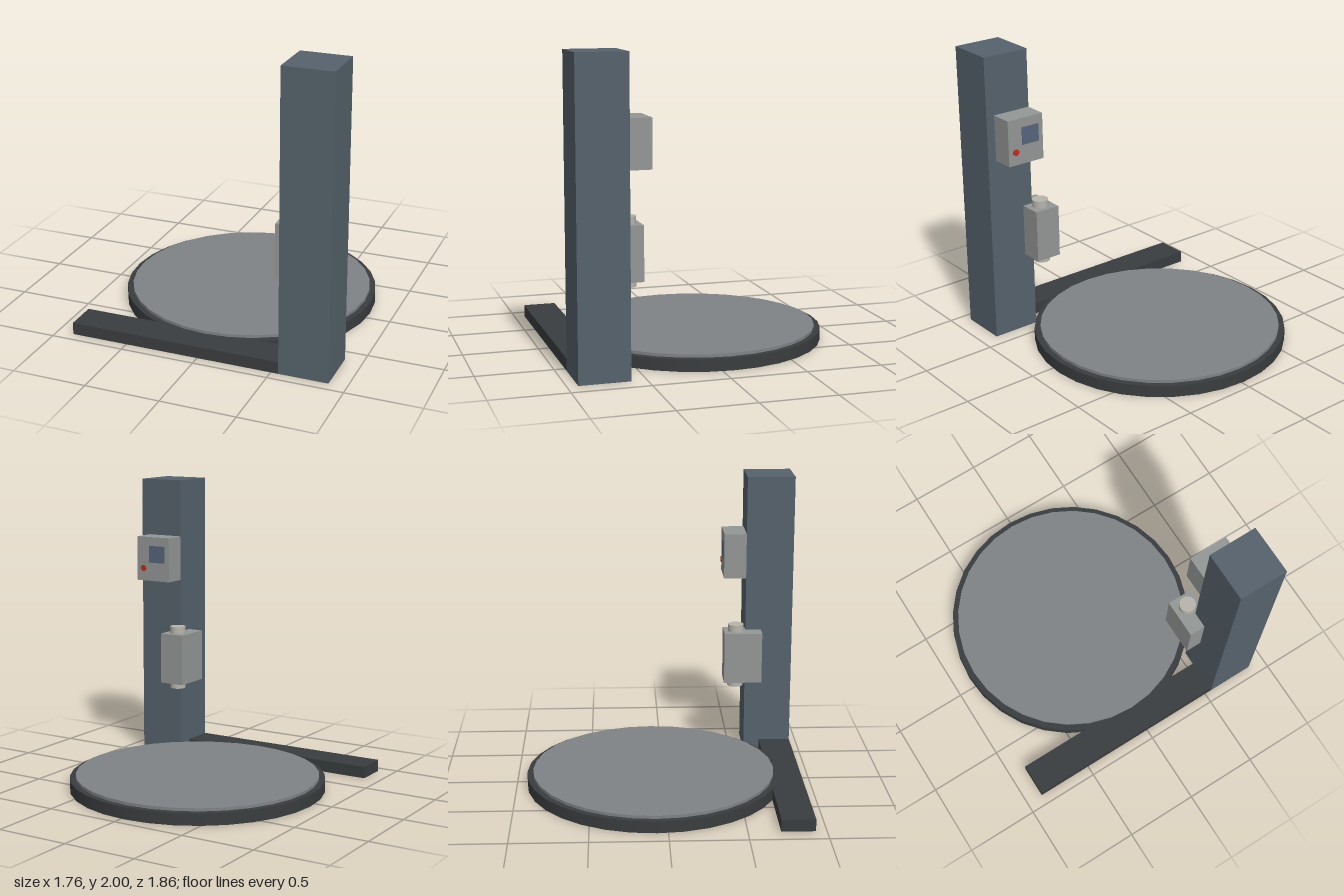
import * as THREE from 'three';

const paint = (color, side = THREE.FrontSide) => new THREE.MeshStandardMaterial({ color, side });

export function createModel() {
  const model = new THREE.Group();
  model.name = 'palletWrapper';

  const dark = paint(0x3a3d3f);
  const blue = paint(0x56626c, THREE.DoubleSide);
  const plate = paint(0x808386);
  const grey = paint(0x939795);
  const light = paint(0xb8b5ac);

  const add = (name, geometry, material, x, y, z) => {
    const mesh = new THREE.Mesh(geometry, material);
    mesh.name = name;
    mesh.position.set(x, y, z);
    model.add(mesh);
    return mesh;
  };
  // Box given by its lower and upper limits on each axis
  const box = (name, material, [x0, x1], [y0, y1], [z0, z1]) =>
    add(name, new THREE.BoxGeometry(x1 - x0, y1 - y0, z1 - z0), material,
      (x0 + x1) / 2, (y0 + y1) / 2, (z0 + z1) / 2);
  // Upright cylinder standing between two heights
  const drum = (name, material, radius, [y0, y1], x, z, sides = 32) =>
    add(name, new THREE.CylinderGeometry(radius, radius, y1 - y0, sides), material,
      x, (y0 + y1) / 2, z);

  // Turntable: dark base ring with a raised plate
  drum('turntableBase', dark, 0.86, [0, 0.08], -0.02, -0.07);
  drum('turntablePlate', plate, 0.82, [0.06, 0.1], -0.02, -0.07);

  // Floor beam and hollow mast, open underneath
  box('floorBeam', dark, [-0.885, 0.55], [0, 0.081], [0.71, 0.93]);
  const mast = box('mast', blue, [0.55, 0.88], [0, 2], [0.6, 0.93]);
  const index = Array.from(mast.geometry.index.array);
  index.splice(18, 6); // bottom face
  mast.geometry.setIndex(index);
  mast.geometry.clearGroups();

  // Film carriage wrapping the mast corner, with its roll
  box('filmCarriage', grey, [0.44, 0.62], [0.55, 0.91], [0.445, 0.71]);
  drum('filmRoll', light, 0.055, [0.51, 0.96], 0.53, 0.53, 24);

  // Control box with screen and stop button
  box('controlBox', grey, [0.55, 0.82], [1.285, 1.6], [0.445, 0.6]);
  box('screen', paint(0x56667c), [0.585, 0.715], [1.417, 1.537], [0.44, 0.45]);
  const button = drum('stopButton', paint(0xc42a1c), 0.022, [1.367, 1.383], 0.765, 0.445, 16);
  button.rotation.x = Math.PI / 2;

  return model;
}
